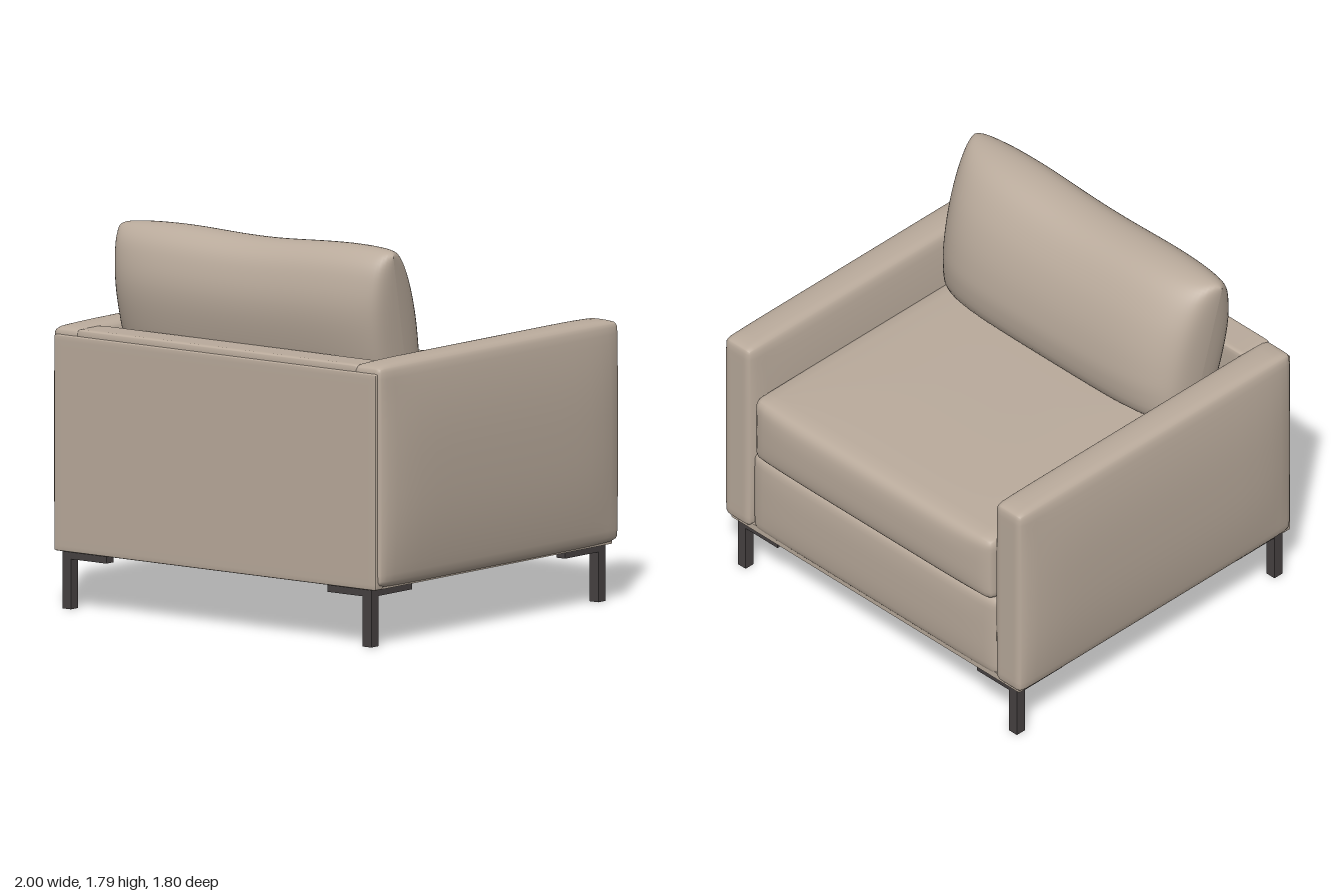
import * as THREE from 'three';
import { mergeVertices } from 'three/addons/utils/BufferGeometryUtils.js';

const fabric = new THREE.MeshStandardMaterial({ color: 0xbaab9c });
fabric.name = 'taupe fabric';
const metal = new THREE.MeshStandardMaterial({ color: 0x474242 });
metal.name = 'dark metal';

function addMesh(parent, name, geometry, material) {
  const mesh = new THREE.Mesh(geometry, material);
  mesh.name = name;
  parent.add(mesh);
  return mesh;
}

// Upholstered block: rounded edges, faces swelling by bulge = [x, y, z];
// a higher power along an axis keeps the swelling fuller towards its ends
function softBox(min, max, radius, bulge = [0, 0, 0], power = [3, 3, 3]) {
  const lo = new THREE.Vector3(...min), hi = new THREE.Vector3(...max);
  const centre = lo.clone().add(hi).multiplyScalar(0.5);
  const half = hi.clone().sub(lo).multiplyScalar(0.5);
  let g = new THREE.BoxGeometry(2, 2, 2, 20, 20, 20);
  g.deleteAttribute('normal');
  g.deleteAttribute('uv');
  g = mergeVertices(g);
  const pos = g.attributes.position;
  const p = new THREE.Vector3(), core = new THREE.Vector3();
  const inner = half.clone().subScalar(radius);
  const outer = inner.clone().negate();
  for (let i = 0; i < pos.count; i++) {
    p.fromBufferAttribute(pos, i);
    // crowd the grid towards the edges, then round them
    p.set(...p.toArray().map((t) => Math.sin(t * Math.PI / 2))).multiply(half);
    core.copy(p).clamp(outer, inner);
    p.sub(core).setLength(radius).add(core);
    const n = p.clone().divide(half);
    const [sx, sy, sz] = n.toArray().map((t, k) => 1 - Math.min(1, Math.abs(t)) ** power[k]);
    p.x += bulge[0] * n.x * sy * sz;
    p.y += bulge[1] * n.y * sx * sz;
    p.z += bulge[2] * n.z * sx * sy;
    p.add(centre);
    pos.setXYZ(i, p.x, p.y, p.z);
  }
  g.computeVertexNormals();
  return g;
}

// Box from its two corners
function box(min, max) {
  const size = max.map((v, i) => v - min[i]);
  return new THREE.BoxGeometry(...size)
    .translate(...max.map((v, i) => (v + min[i]) / 2));
}

// Flat rectangular frame lying under the seat, open in the middle
function underFrame() {
  const shape = new THREE.Shape();
  shape.moveTo(-0.93, -0.875).lineTo(0.93, -0.875).lineTo(0.93, 0.845).lineTo(-0.93, 0.845).closePath();
  const hole = new THREE.Path();
  hole.moveTo(-0.8, -0.75).lineTo(-0.8, 0.75).lineTo(0.8, 0.75).lineTo(0.8, -0.75).closePath();
  shape.holes.push(hole);
  return new THREE.ExtrudeGeometry(shape, { depth: 0.034, bevelEnabled: false })
    .rotateX(-Math.PI / 2).translate(0, 0.266, 0);
}

// Leaning pillow lofted along x, each section thinning towards the side seam
function pillowGeometry() {
  const profile = [
    [0.55, 1.782], [0.46, 1.762], [0.385, 1.707], [0.31, 1.6], [0.26, 1.48],
    [0.23, 1.35], [0.222, 1.22], [0.26, 1.08], [0.4, 1.02], [0.58, 1.03],
    [0.69, 1.2], [0.735, 1.36], [0.75, 1.5], [0.735, 1.61], [0.695, 1.71], [0.63, 1.768],
  ].map(([z, y]) => new THREE.Vector3(0, y, z));
  const around = 64, along = 56;
  const section = new THREE.CatmullRomCurve3(profile, true).getPoints(around).slice(0, around);
  const vertices = [], index = [];
  for (let i = 0; i <= along; i++) {
    const s = Math.sin((i / along - 0.5) * Math.PI);
    const a = Math.min(1, Math.abs(s));
    const cap = Math.sqrt(1 - a ** 70);
    const front = (0.22 + 0.78 * Math.sqrt(1 - a ** 5)) * cap;
    const back = (0.42 + 0.58 * Math.sqrt(1 - a ** 5)) * cap;
    for (let j = 0; j < around; j++) {
      const { y, z } = section[j];
      const h = (y - 1.03) / 0.74;
      const seam = 0.43 + 0.16 * h;
      const x = s * (0.768 + 0.032 * h);
      const wave = (0.01 * x - 0.008 * Math.cos(x * 6) - 0.006) * h;
      vertices.push(
        x,
        1.4 + (y - 1.4) * (1 - 0.02 * a ** 14 - 0.05 * a ** 70) + wave,
        seam + (z - seam) * (z < seam ? front : back),
      );
      if (i < along) {
        const k = (j + 1) % around;
        const p = i * around + j, q = p + around;
        const r = i * around + k, t = r + around;
        index.push(p, q, r, q, t, r);
      }
    }
  }
  const g = new THREE.BufferGeometry();
  g.setAttribute('position', new THREE.Float32BufferAttribute(vertices, 3));
  g.setIndex(index);
  g.computeVertexNormals();
  return g;
}

// Corner leg: square post with an L-shaped mounting bracket
function addLeg(parent, sx, zOuter) {
  const leg = new THREE.Group();
  leg.name = 'leg';
  const dz = -Math.sign(zOuter);
  const span = (name, x0, x1, y0, y1, z0, z1) => addMesh(leg, name, box(
    [Math.min(x0, x1), y0, Math.min(z0, z1)],
    [Math.max(x0, x1), y1, Math.max(z0, z1)]), metal);
  span('legPost', sx * 0.851, sx * 0.902, 0, 0.27, zOuter, zOuter + dz * 0.052);
  span('legBracketSide', sx * 0.851, sx * 0.902, 0.232, 0.27, zOuter + dz * 0.052, zOuter + dz * 0.295);
  span('legBracketCross', sx * 0.645, sx * 0.851, 0.232, 0.27, zOuter, zOuter + dz * 0.052);
  parent.add(leg);
}

export function createModel() {
  const chair = new THREE.Group();
  chair.name = 'armchair';

  // Frame, with a shallow recess underneath
  addMesh(chair, 'frontRail', softBox([-0.8, 0.268, -0.848], [0.8, 0.715, -0.7], 0.045, [0, 0, 0.02], [8, 3, 3]), fabric);
  addMesh(chair, 'seatBase', box([-0.8, 0.295, -0.78], [0.8, 0.7, 0.8]), fabric);
  addMesh(chair, 'underFrame', underFrame(), fabric);
  addMesh(chair, 'backrest', softBox([-0.82, 0.28, 0.71], [0.82, 1.298, 0.885], 0.02), fabric);
  addMesh(chair, 'backPanel', softBox([-0.94, 0.266, 0.84], [0.94, 1.266, 0.897], 0.01), fabric);

  // Arms
  for (const s of [-1, 1]) {
    const x = [s * 0.79, s * 0.96].sort((a, b) => a - b);
    addMesh(chair, s > 0 ? 'leftArm' : 'rightArm',
      softBox([x[0], 0.28, -0.867], [x[1], 1.297, 0.885], 0.035, [0.04, 0.014, 0], [2, 2.4, 8]), fabric);
  }

  // Cushions
  addMesh(chair, 'seatCushion', softBox([-0.772, 0.7, -0.868], [0.772, 1.05, 0.72], 0.05, [0, 0.015, 0.03], [6, 3, 4]), fabric);
  addMesh(chair, 'backPillow', pillowGeometry(), fabric);

  // Legs
  for (const sx of [-1, 1]) for (const z of [0.88, -0.831]) addLeg(chair, sx, z);

  return chair;
}
